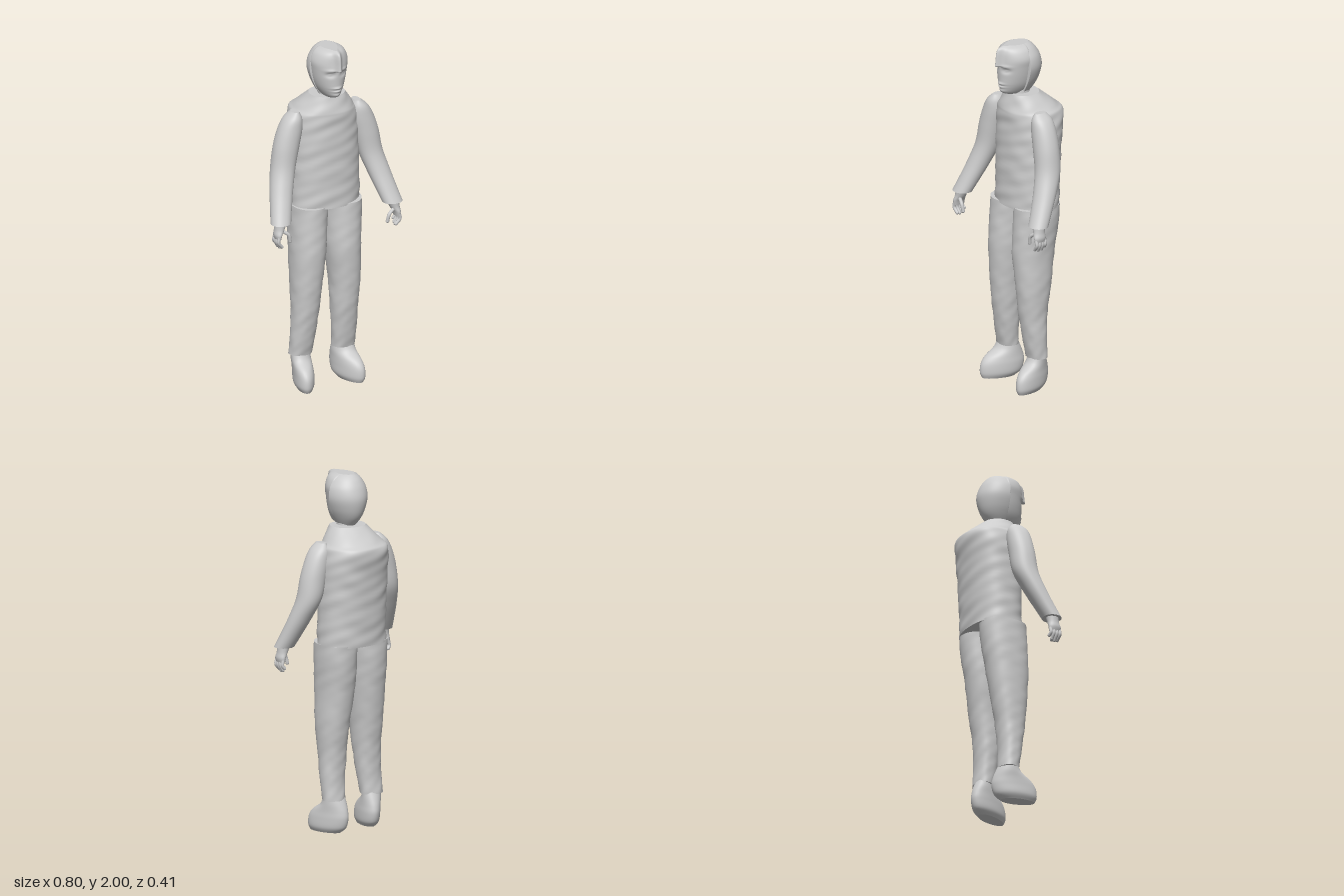
import * as THREE from 'three';

const grey = new THREE.MeshStandardMaterial({ color: 0xcccccc });
grey.name = 'plain grey';

const bump = (v, c, w) => Math.exp(-(((v - c) / w) ** 2));
const step = (a, b, v) => THREE.MathUtils.smoothstep(v, a, b);

// Smooth interpolation between section rows
function sample(rows, t) {
  const n = rows.length - 1;
  const i = Math.min(Math.floor(t), n - 1), f = t - i;
  const at = k => rows[Math.max(0, Math.min(n, k))];
  return rows[i].map((_, c) => {
    const p0 = at(i - 1)[c], p1 = at(i)[c], p2 = at(i + 1)[c], p3 = at(i + 2)[c];
    return p1 + 0.5 * f * (p2 - p0 + f * (2 * p0 - 5 * p1 + 4 * p2 - p3 + f * (3 * (p1 - p2) + p3 - p0)));
  });
}

// Skin over horizontal sections, bottom to top.
// Row: [y, centre x, centre z, half width, front depth, back depth]
function loft(name, rows, { seg = 40, sub = 6, power = 2, shape = null } = {}) {
  const pos = [], idx = [], levels = (rows.length - 1) * sub;
  for (let i = 0; i <= levels; i++) {
    const [y, cx, cz, rx, front, back] = sample(rows, i / sub);
    for (let j = 0; j < seg; j++) {
      const a = (j / seg) * Math.PI * 2, c = Math.cos(a), s = Math.sin(a);
      const e = 2 / power;
      const p = new THREE.Vector3(
        cx + rx * Math.sign(c) * Math.abs(c) ** e, y,
        cz + (s > 0 ? front : back) * Math.sign(s) * Math.abs(s) ** e);
      if (shape) shape(p, a, cx);
      pos.push(p.x, p.y, p.z);
    }
  }
  for (let i = 0; i < levels; i++) for (let j = 0; j < seg; j++) {
    const k = (j + 1) % seg, a = i * seg, b = a + seg;
    idx.push(a + j, b + j, a + k, a + k, b + j, b + k);
  }
  // Flat end caps with their own vertices so the rim stays sharp
  for (const level of [0, levels]) {
    const start = pos.length / 3, [y, cx, cz] = sample(rows, level / sub);
    for (let j = 0; j < seg; j++) {
      const o = (level * seg + j) * 3;
      pos.push(pos[o], pos[o + 1], pos[o + 2]);
    }
    pos.push(cx, y, cz);
    for (let j = 0; j < seg; j++) {
      const k = (j + 1) % seg;
      if (level) idx.push(start + seg, start + k, start + j);
      else idx.push(start + seg, start + j, start + k);
    }
  }
  const g = new THREE.BufferGeometry();
  g.setAttribute('position', new THREE.Float32BufferAttribute(pos, 3));
  g.setIndex(idx);
  g.computeVertexNormals();
  const mesh = new THREE.Mesh(g, grey);
  mesh.name = name;
  return mesh;
}

// Rounded finger along a short bent path
function finger(name, points, r) {
  const group = new THREE.Group();
  group.name = name;
  const path = new THREE.CatmullRomCurve3(points.map(p => new THREE.Vector3(...p)));
  group.add(new THREE.Mesh(new THREE.TubeGeometry(path, 8, r, 10), grey));
  const tip = new THREE.Mesh(new THREE.SphereGeometry(r, 10, 8), grey);
  tip.position.copy(path.getPoint(1));
  group.add(tip);
  return group;
}

// Cloth folds
const folds = amount => (p, a, cx) => {
  const w = Math.sin(p.y * 47 + Math.sin(a * 3) * 1.6) * Math.sin(a * 2 + p.y * 9)
    + 0.5 * Math.sin(p.y * 83 + a * 5);
  p.x += Math.cos(a) * w * amount;
  p.z += Math.sin(a) * w * amount;
};

// Brow, eyes, nose, mouth, chin and hairline
function faceShape(p, a, cx) {
  const x = p.x - cx, ax = Math.abs(x), y = p.y;
  if (Math.sin(a) <= 0) return;
  const ridge = step(1.89, 1.825, y) * step(1.8, 1.815, y);
  p.z += 0.032 * ridge * bump(x, 0, 0.011 + 0.006 * step(1.85, 1.82, y));
  p.z -= 0.013 * bump(ax, 0.04, 0.021) * bump(y, 1.864, 0.013);
  p.z += 0.007 * bump(ax, 0.04, 0.012) * bump(y, 1.864, 0.006);
  p.z += 0.005 * bump(ax, 0.04, 0.028) * bump(y, 1.889, 0.009);
  p.z += 0.008 * bump(x, 0, 0.027) * (bump(y, 1.782, 0.007) + bump(y, 1.764, 0.007));
  p.z -= 0.005 * bump(x, 0, 0.03) * bump(y, 1.773, 0.004);
  p.z += 0.007 * bump(x, 0, 0.025) * bump(y, 1.74, 0.012);
  const line = 1.935 - 0.9 * Math.max(0, ax - 0.07) * 2 + 0.008 * Math.sin(x * 130);
  const hair = step(line, line + 0.008, y) * step(2, 1.97, y)
    * (0.006 + 0.003 * Math.sin(x * 210 + y * 120) * Math.sin(y * 170));
  p.x += Math.cos(a) * hair;
  p.z += Math.sin(a) * hair;
}

export function createModel() {
  const model = new THREE.Group();
  model.name = 'standing man';

  // Head: face in front, smooth rounded shell behind
  const head = new THREE.Group();
  head.name = 'head';
  head.add(loft('face', [
    [1.708, 0.005, 0.05, 0.026, 0.05, 0.03],
    [1.728, 0.005, 0.04, 0.048, 0.106, 0.03],
    [1.77, 0.005, 0.04, 0.073, 0.12, 0.03],
    [1.82, 0.005, 0.04, 0.089, 0.124, 0.03],
    [1.88, 0.006, 0.04, 0.1, 0.126, 0.03],
    [1.925, 0.007, 0.04, 0.105, 0.122, 0.03],
    [1.965, 0.007, 0.04, 0.092, 0.117, 0.03],
    [1.988, 0.007, 0.04, 0.072, 0.105, 0.03],
    [2.0, 0.007, 0.04, 0.045, 0.075, 0.03],
  ], { seg: 128, sub: 10, shape: faceShape }));
  head.add(loft('headShell', [
    [1.715, 0.008, 0.04, 0.048, 0.005, 0.068],
    [1.76, 0.008, 0.04, 0.075, 0.005, 0.105],
    [1.81, 0.009, 0.04, 0.098, 0.005, 0.126],
    [1.87, 0.01, 0.04, 0.114, 0.005, 0.135],
    [1.925, 0.01, 0.04, 0.109, 0.005, 0.122],
    [1.965, 0.009, 0.04, 0.088, 0.005, 0.1],
    [1.988, 0.008, 0.04, 0.066, 0.005, 0.078],
    [2.0, 0.008, 0.04, 0.042, 0.005, 0.06],
  ], { seg: 64 }));
  model.add(head);

  const neck = new THREE.Mesh(new THREE.CylinderGeometry(0.05, 0.058, 0.09, 32), grey);
  neck.name = 'neck';
  neck.position.set(0.01, 1.705, 0.03);
  model.add(neck);

  // Top garment, broad across the upper back
  model.add(loft('torso', [
    [1.06, 0.013, -0.02, 0.203, 0.15, 0.143],
    [1.2, 0.013, -0.02, 0.2, 0.15, 0.15],
    [1.4, 0.013, -0.03, 0.199, 0.16, 0.152],
    [1.52, 0.012, -0.04, 0.197, 0.17, 0.155],
    [1.6, 0.012, -0.04, 0.186, 0.17, 0.164],
    [1.635, 0.012, -0.03, 0.16, 0.158, 0.14],
    [1.715, 0.012, 0.02, 0.1, 0.085, 0.09],
  ], { seg: 80, sub: 10, power: 2.25, shape: folds(0.0022) }));

  for (const s of [1, -1]) {
    const side = s > 0 ? 'left' : 'right';

    // Bent sleeve
    model.add(loft(side + 'Arm', [
      [1.05, s * 0.344, 0.157, 0.057, 0.052, 0.052],
      [1.12, s * 0.325, 0.122, 0.06, 0.056, 0.056],
      [1.22, s * 0.298, 0.076, 0.065, 0.062, 0.063],
      [1.33, s * 0.268, 0.038, 0.069, 0.068, 0.073],
      [1.45, s * 0.243, 0.03, 0.073, 0.068, 0.073],
      [1.54, s * 0.219, 0.027, 0.068, 0.065, 0.07],
      [1.6, s * 0.203, 0.026, 0.05, 0.058, 0.06],
      [1.638, s * 0.19, 0.027, 0.02, 0.035, 0.035],
    ], { power: 2.1 }));

    // Hand with curled fingers
    const hand = new THREE.Group();
    hand.name = side + 'Hand';
    hand.add(loft('palm', [
      [0.965, s * 0.367, 0.162, 0.014, 0.034, 0.034],
      [0.99, s * 0.366, 0.162, 0.021, 0.038, 0.037],
      [1.02, s * 0.355, 0.16, 0.028, 0.034, 0.034],
      [1.06, s * 0.345, 0.157, 0.036, 0.036, 0.036],
    ], { seg: 24 }));
    [0.912, 0.906, 0.91, 0.925].forEach((tip, i) => {
      const z = 0.19 - i * 0.019;
      hand.add(finger('finger', [
        [s * 0.369, 0.98, z], [s * 0.375, 0.95, z], [s * (0.352 + i * 0.004), tip + 0.009, z - 0.004],
      ], 0.0095));
    });
    hand.add(finger('thumb', [
      [s * 0.345, 1.01, 0.175], [s * 0.311, 0.985, 0.186], [s * 0.301, 0.945, 0.183],
    ], 0.01));
    model.add(hand);

    // Trouser leg, tapering to the ankle
    model.add(loft(side + 'Leg', [
      [0.185, s * 0.132 - 0.01, 0, 0.065, 0.055, 0.055],
      [0.3, s * 0.127 - 0.006, 0.01, 0.07, 0.068, 0.058],
      [0.45, s * 0.12 - 0.004, 0.02, 0.076, 0.083, 0.077],
      [0.6, s * 0.118, 0.02, 0.085, 0.1, 0.1],
      [0.8, s * 0.107, 0.015, 0.097, 0.12, 0.125],
      [0.95, s * 0.106 + 0.006, 0, 0.101, 0.132, 0.133],
      [1.07, s * 0.104 + 0.01, -0.005, 0.102, 0.135, 0.137],
    ], { power: 2.2, seg: 48, shape: folds(0.0014) }));

    // Foot, toes turned outward
    model.add(loft(side + 'Foot', [
      [0, s * 0.127 - 0.006, 0.05, 0.042, 0.1, 0.085],
      [0.03, s * 0.127 - 0.006, 0.04, 0.058, 0.121, 0.11],
      [0.08, s * 0.127 - 0.006, 0.03, 0.06, 0.126, 0.114],
      [0.12, s * 0.128 - 0.008, 0.02, 0.059, 0.108, 0.1],
      [0.16, s * 0.13 - 0.01, 0.005, 0.059, 0.066, 0.072],
      [0.2, s * 0.132 - 0.01, 0, 0.057, 0.048, 0.05],
    ], { shape: p => { p.x += s * 0.24 * p.z; } }));
  }
  return model;
}
